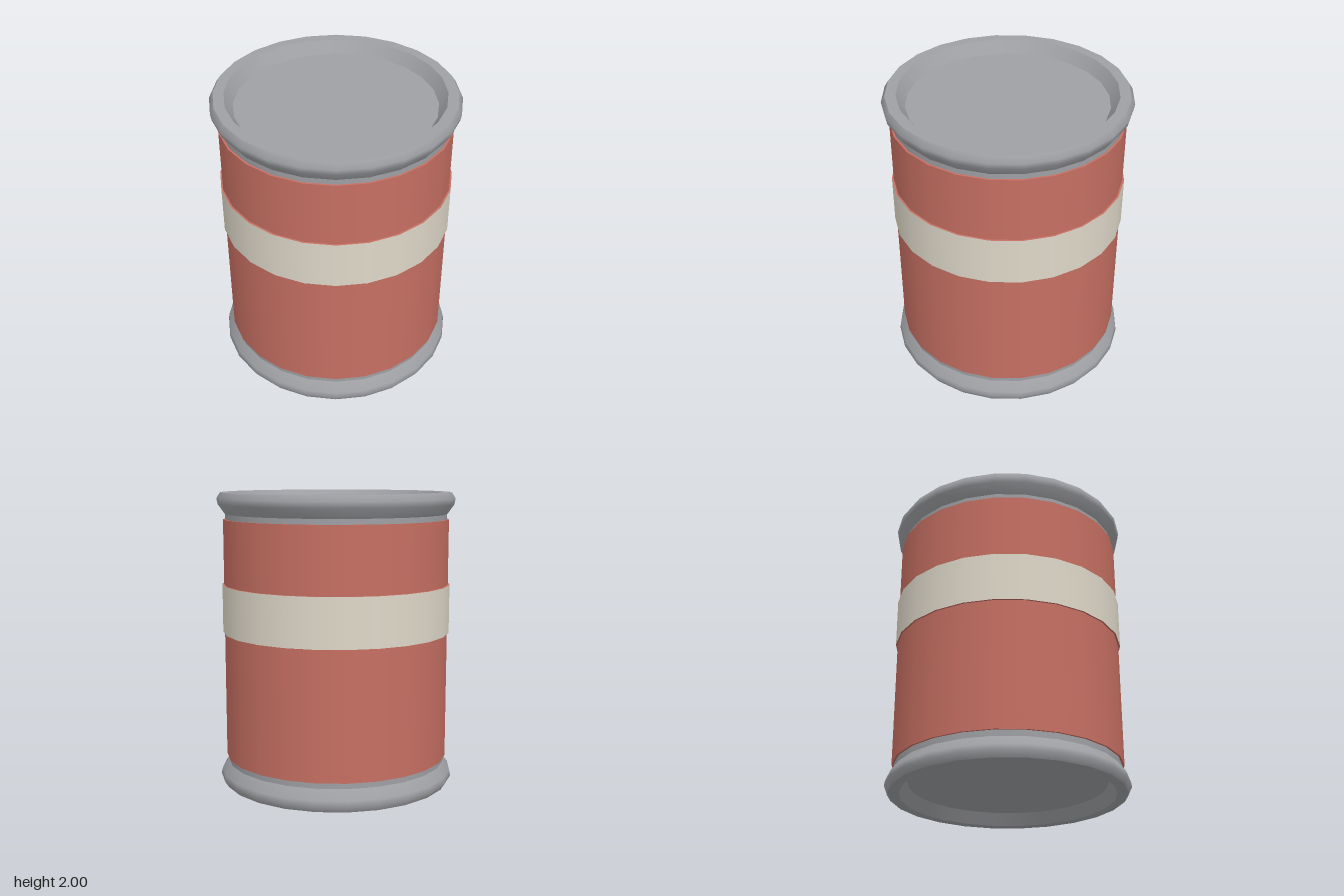
import * as THREE from 'three';
import { mergeGeometries } from 'three/addons/utils/BufferGeometryUtils.js';

const SIDES = 24;
const HEIGHT = 2;

function paint(name, color) {
  const material = new THREE.MeshStandardMaterial({ color });
  material.name = name;
  return material;
}

// Revolves each section on its own, so shading is smooth inside a section and sharp between them.
// Sections run up the outside and down the inside so that faces point outward.
function turned(name, sections, material) {
  const parts = sections.map((points) =>
    new THREE.LatheGeometry(points.map(([r, y]) => new THREE.Vector2(r, y)), SIDES));
  const mesh = new THREE.Mesh(mergeGeometries(parts), material);
  mesh.name = name;
  return mesh;
}

// Flips sections from the bottom of the drum to the top
const flip = (sections) =>
  sections.map((points) => points.map(([r, y]) => [r, HEIGHT - y]).reverse());

export function createModel() {
  const steel = paint('grey steel', 0x9fa0a4);
  const red = paint('faded red', 0xc66f62);
  const cream = paint('cream', 0xdfd8c9);

  const drum = new THREE.Group();
  drum.name = 'drum';

  // Recessed lid, sloping inner wall, flat lip, rolled rim and neck
  const end = [
    [[0, 0.08], [0.66, 0.08]],
    [[0.66, 0.08], [0.715, 0]],
    [[0.715, 0], [0.785, 0]],
    [[0.785, 0], [0.81, 0.04], [0.802, 0.08], [0.755, 0.145]],
    [[0.755, 0.145], [0.755, 0.19]],
  ];
  drum.add(turned('bottomEnd', end, steel));
  drum.add(turned('topEnd', flip(end), steel));

  // Painted shell with small ledges at its ends and around the band
  drum.add(turned('shell', [
    [[0.75, 0.185], [0.768, 0.185]],
    [[0.768, 0.185], [0.768, 1.05]],
    [[0.768, 1.05], [0.78, 1.05]],
    [[0.78, 1.38], [0.768, 1.38]],
    [[0.768, 1.38], [0.768, 1.82]],
    [[0.768, 1.82], [0.75, 1.82]],
  ], red));

  // Raised stripe
  drum.add(turned('band', [[[0.78, 1.05], [0.78, 1.38]]], cream));

  return drum;
}
